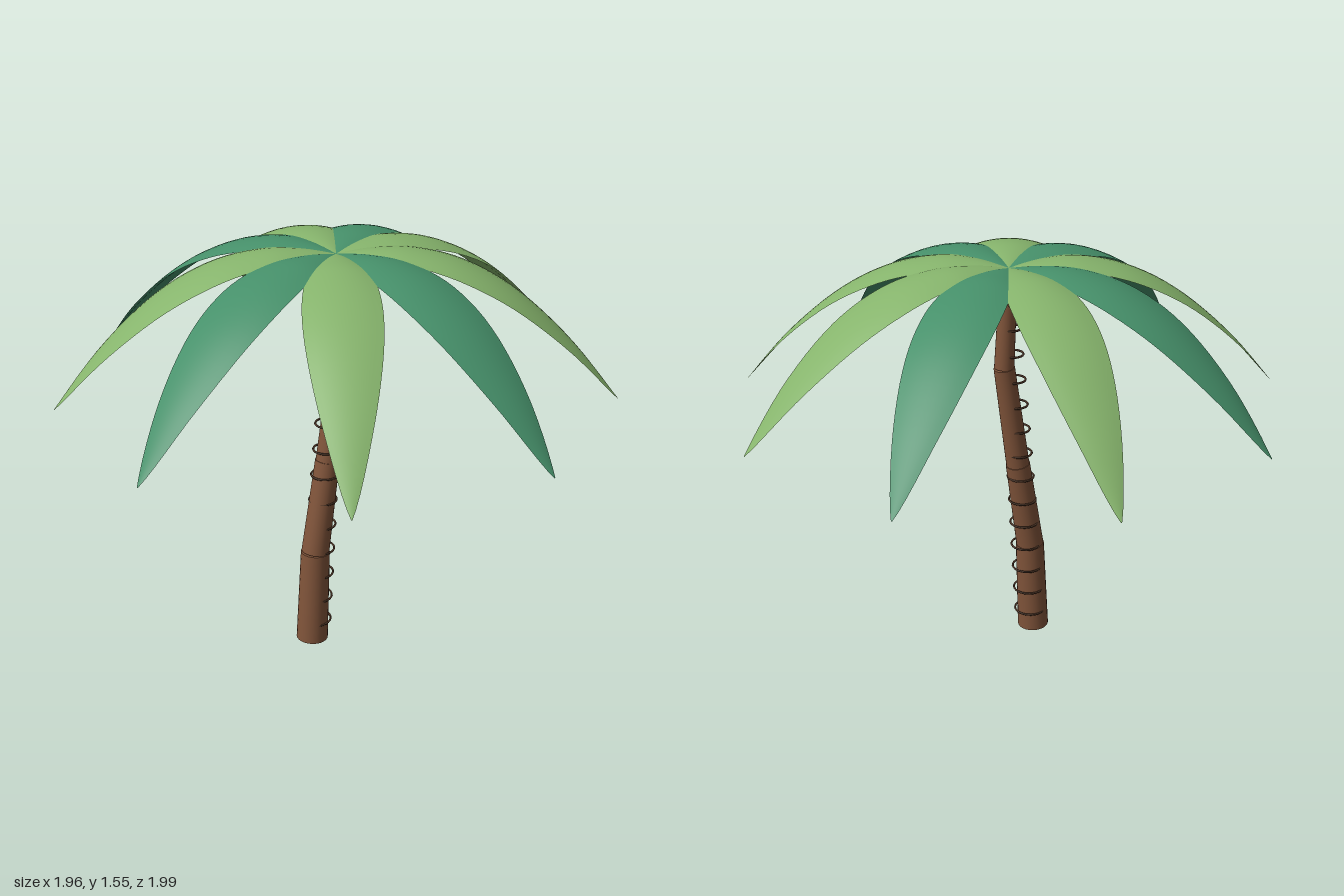
import * as THREE from 'three';

const mat = (color, side = THREE.FrontSide) => new THREE.MeshStandardMaterial({ color, side });
const TOP_X = -0.03;

// Arched leaf blade along +x, its edges drooping from the midline
function leafGeometry() {
  const spine = new THREE.SplineCurve([
    [0, 1.525], [0.12, 1.545], [0.26, 1.547], [0.44, 1.505],
    [0.63, 1.405], [0.83, 1.235], [1.01, 1.03],
  ].map(([x, y]) => new THREE.Vector2(x, y)));
  const geo = new THREE.PlaneGeometry(1, 1, 32, 8).rotateX(-Math.PI / 2);
  const pos = geo.attributes.position;
  for (let i = 0; i < pos.count; i++) {
    const p = spine.getPoint(pos.getX(i) + 0.5);
    const side = pos.getZ(i) * 2;
    const t = THREE.MathUtils.clamp(p.x / 1.01, 0, 1);
    const s = Math.max(0, Math.sin(Math.PI * t ** 0.9)) ** 0.8;
    const half = Math.max(0.002, 0.13 * s);
    pos.setXYZ(i, p.x, p.y - 0.022 * s * side * side, half * side);
  }
  geo.computeVertexNormals();
  return geo;
}

// Tapered cylinder between two points
function segment(a, b, rA, rB, material) {
  const dir = b.clone().sub(a);
  const mesh = new THREE.Mesh(new THREE.CylinderGeometry(rB, rA, dir.length(), 24), material);
  mesh.position.copy(a).add(b).multiplyScalar(0.5);
  mesh.quaternion.setFromUnitVectors(new THREE.Vector3(0, 1, 0), dir.normalize());
  return mesh;
}

export function createModel() {
  const palm = new THREE.Group();
  palm.name = 'palmTree';
  const bark = mat(0x80543a);
  const ringMat = mat(0x4a3324);
  const nutMat = mat(0x80523a);
  const greens = [mat(0x86b46c, THREE.DoubleSide), mat(0x46906a, THREE.DoubleSide)];

  // Leaning trunk in four stepped pieces
  const trunk = new THREE.Group();
  trunk.name = 'trunk';
  const joints = [
    [-0.165, 0.003, 0.03], [-0.145, 0.38, 0.028], [-0.082, 0.745, 0.018],
    [-0.018, 1.15, 0.01], [TOP_X, 1.51, 0],
  ].map((p) => new THREE.Vector3(...p));
  const radii = [[0.061, 0.055], [0.053, 0.046], [0.044, 0.039], [0.037, 0.031]];
  radii.forEach(([rA, rB], i) => {
    const piece = segment(joints[i], joints[i + 1], rA, rB, bark);
    piece.name = 'trunkPiece';
    trunk.add(piece);
  });
  palm.add(trunk);

  // Level bark rings, set a little toward the model's left
  const rings = new THREE.Group();
  rings.name = 'barkRings';
  for (let i = 0; i < 13; i++) {
    const t = i / 12;
    const ring = new THREE.Mesh(new THREE.TorusGeometry(0.06 - 0.02 * t, 0.004, 6, 28), ringMat);
    ring.name = 'barkRing';
    ring.rotation.x = Math.PI / 2;
    ring.position.set(-0.149 + 0.109 * t, 0.08 + 1.22 * t, 0.028 - 0.022 * t);
    rings.add(ring);
  }
  palm.add(rings);

  // Four coconuts around the trunk top
  const nutGeo = new THREE.SphereGeometry(0.056, 24, 16);
  for (let i = 0; i < 4; i++) {
    const a = (i * Math.PI) / 2;
    const nut = new THREE.Mesh(nutGeo, nutMat);
    nut.name = 'coconut';
    nut.scale.y = 1.15;
    nut.position.set(TOP_X + 0.07 * Math.cos(a), 1.455, 0.07 * Math.sin(a));
    palm.add(nut);
  }

  // Nine leaves in alternating greens
  const crown = new THREE.Group();
  crown.name = 'crown';
  const leafGeo = leafGeometry();
  for (let i = 0; i < 9; i++) {
    const leaf = new THREE.Mesh(leafGeo, greens[i % 2]);
    leaf.name = 'leaf';
    leaf.position.x = TOP_X;
    leaf.rotation.y = (i * Math.PI * 2) / 9;
    crown.add(leaf);
  }
  palm.add(crown);
  return palm;
}
